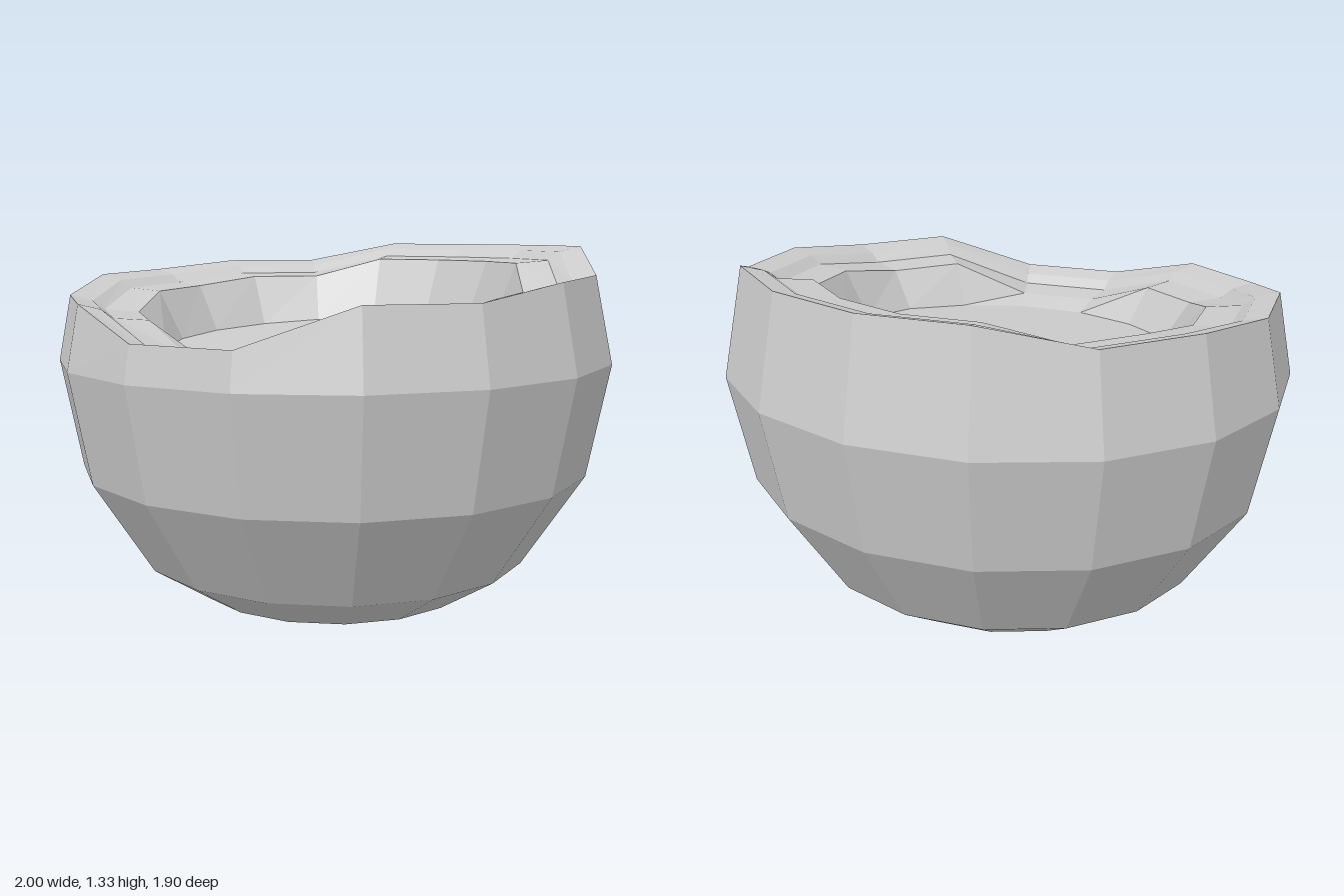
import * as THREE from 'three';

const SIDES = 16;
const OFFSET = -0.04; // slight twist of the facets
const DEPTH = 0.95; // the bowl is a little shallower than wide

// Uneven lip height at each side, starting at +x and turning towards +z
const LIP = [1.23, 1.18, 1.18, 1.05, 1.05, 1.15, 1.16, 1.22, 1.23, 1.26, 1.26, 1.33, 1.33, 1.33, 1.33, 1.24];
const lipRadius = (k) => 1 - 0.21 * (LIP[k] - 0.94);

// One ring of points; radius and height are functions of the side number
function ring(radius, height) {
  return LIP.map((_, k) => {
    const a = OFFSET + (k * Math.PI * 2) / SIDES;
    const r = radius(k);
    const z = DEPTH * r * Math.sin(a);
    return new THREE.Vector3(r * Math.cos(a), height(k, z), z);
  });
}

// Level ring of the body, tipped slightly up at the back
const bodyRing = (r, y) => ring(() => r, (k, z) => y - 0.014 * z);
// Ring that follows the lip, moved inward and lowered
const lipRing = (scale, drop) => ring((k) => lipRadius(k) * scale, (k) => LIP[k] - drop);
// Ring on the gently sloping floor
const floorRing = (scale) => ring((k) => lipRadius(k) * scale, (k, z) => 1.0 - 0.07 * z);

// Joins successive rings with faces
function loft(name, rings, material) {
  const points = rings.flat();
  const index = [];
  for (let i = 0; i < rings.length - 1; i++) {
    for (let k = 0; k < SIDES; k++) {
      const n = (k + 1) % SIDES;
      const a = i * SIDES + k, b = i * SIDES + n;
      const c = a + SIDES, d = b + SIDES;
      if (points[a].distanceTo(points[b]) > 1e-6) index.push(a, c, b);
      if (points[c].distanceTo(points[d]) > 1e-6) index.push(b, c, d);
    }
  }
  const indexed = new THREE.BufferGeometry().setFromPoints(points);
  indexed.setIndex(index);
  const geometry = indexed.toNonIndexed();
  geometry.computeVertexNormals();
  const mesh = new THREE.Mesh(geometry, material);
  mesh.name = name;
  return mesh;
}

export function createModel() {
  const group = new THREE.Group();
  group.name = 'bowl';
  const material = new THREE.MeshStandardMaterial({ color: 0xcccccc, flatShading: true });

  // Rounded outside, from the bottom point up to the lip
  const body = [[0, 0], [0.34, 0.045], [0.5, 0.1], [0.71, 0.23], [0.925, 0.555], [1, 0.94]];
  group.add(loft('outerBody', [...body.map(([r, y]) => bodyRing(r, y)), lipRing(1, 0)], material));

  // Stepped lip: flat edge, small step, inner ledge
  const steps = [[1, 0], [0.915, 0.02], [0.87, 0.05], [0.74, 0.06]];
  group.add(loft('steppedLip', steps.map(([s, d]) => lipRing(s, d)), material));

  // Inner wall and floor
  group.add(loft('innerWall', [lipRing(0.74, 0.06), floorRing(0.64)], material));
  group.add(loft('floor', [floorRing(0.64), floorRing(0)], material));

  return group;
}
